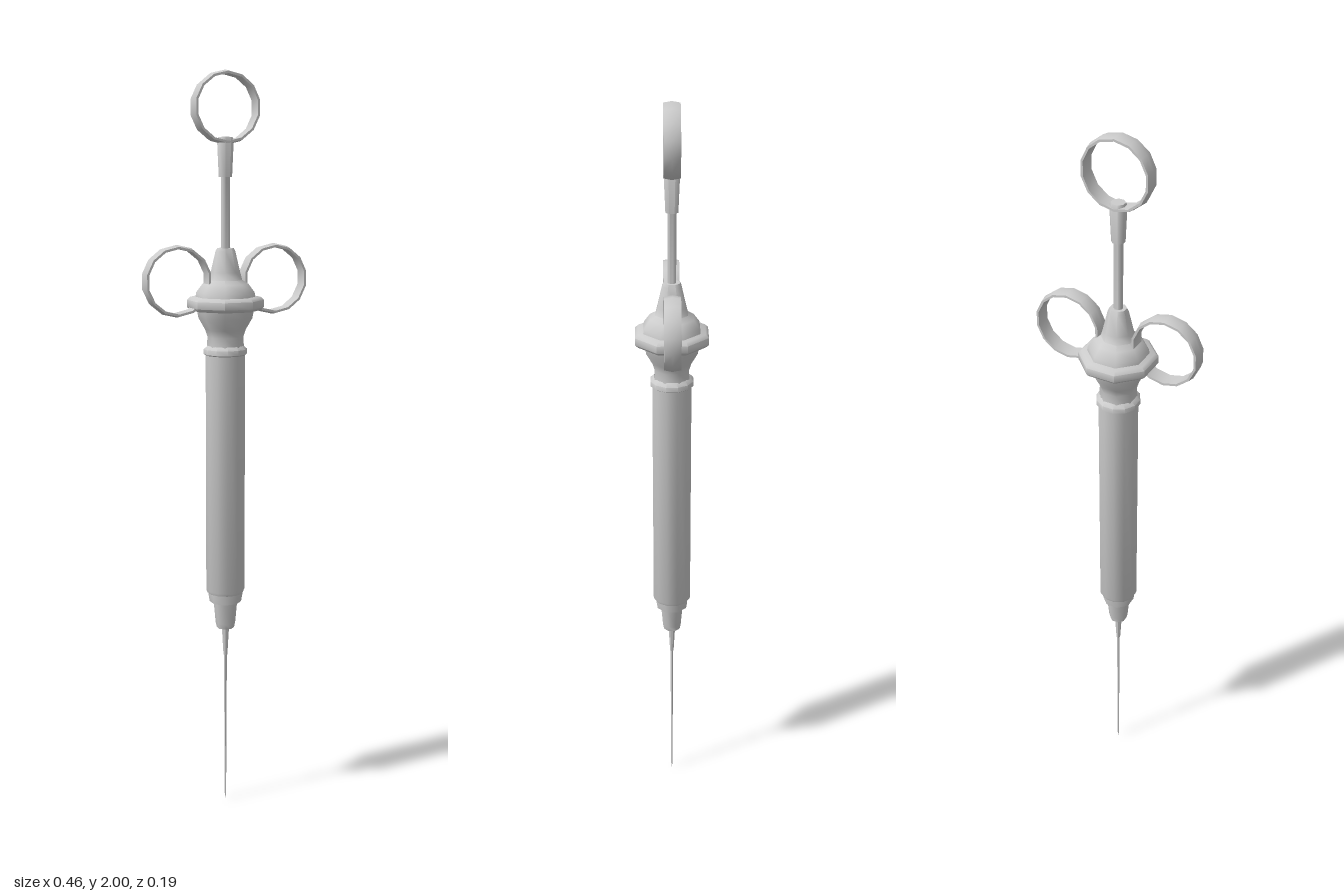
import * as THREE from 'three';
import { toCreasedNormals } from 'three/addons/utils/BufferGeometryUtils.js';

const material = new THREE.MeshStandardMaterial({ color: 0xcccccc, side: THREE.DoubleSide });

// Turned part: profile is [radius across flats, height] from bottom to top, flats face the axes
function turned(name, sides, profile, crease = 0.9) {
  const k = 1 / Math.cos(Math.PI / sides);
  const points = profile.map(([r, y]) => new THREE.Vector2(r * k, y));
  const geometry = new THREE.LatheGeometry(points, sides, Math.PI / sides);
  const mesh = new THREE.Mesh(toCreasedNormals(geometry, crease), material);
  mesh.name = name;
  return mesh;
}

// Flat band ring with a slightly domed outside, standing in the XY plane
function fingerRing(name, x, y) {
  const band = [[0.084, -0.021], [0.09, -0.021], [0.094, 0], [0.09, 0.021], [0.084, 0.021], [0.084, -0.021]];
  const geometry = new THREE.LatheGeometry(band.map(([r, h]) => new THREE.Vector2(r, h)), 14);
  geometry.rotateX(Math.PI / 2);
  const mesh = new THREE.Mesh(toCreasedNormals(geometry, 0.6), material);
  mesh.name = name;
  mesh.position.set(x, y, 0);
  return mesh;
}

export function createModel() {
  const model = new THREE.Group();
  model.name = 'syringe';

  // Needle and its hub
  model.add(turned('needle', 6, [[0, 0], [0.002, 0.02], [0.003, 0.26], [0.004, 0.44]]));
  model.add(turned('needleHub', 8, [[0, 0.43], [0.005, 0.43], [0.009, 0.505], [0.009, 0.52]]));

  // Stepped nozzle under the barrel
  model.add(turned('nozzle', 8, [
    [0, 0.51], [0.022, 0.51], [0.025, 0.525], [0.03, 0.585],
    [0.04, 0.585], [0.043, 0.605], [0.043, 0.62],
  ]));

  // Barrel and the bead around its top
  model.add(turned('barrel', 12, [[0, 0.612], [0.048, 0.612], [0.051, 0.62], [0.051, 1.27], [0, 1.27]]));
  model.add(turned('barrelBead', 12, [[0.048, 1.265], [0.056, 1.27], [0.056, 1.283], [0.046, 1.292]]));

  // Waisted neck, finger flange and domed cap with a cone
  model.add(turned('neck', 8, [
    [0.046, 1.28], [0.044, 1.315], [0.05, 1.335], [0.066, 1.365], [0.07, 1.39],
  ]));
  model.add(turned('flange', 8, [
    [0, 1.386], [0.086, 1.386], [0.094, 1.394], [0.094, 1.413], [0.086, 1.421], [0, 1.421],
  ]));
  model.add(turned('cap', 8, [
    [0.073, 1.42], [0.071, 1.433], [0.056, 1.455], [0.041, 1.465],
    [0.036, 1.485], [0.024, 1.54], [0.02, 1.548], [0, 1.548],
  ]));

  // Plunger rod with the thicker socket that carries the thumb ring
  model.add(turned('plungerRod', 8, [[0.011, 1.54], [0.011, 1.74]]));
  model.add(turned('ringSocket', 8, [[0, 1.73], [0.016, 1.73], [0.02, 1.825], [0.017, 1.832], [0, 1.832]]));

  // Thumb ring and the mirrored pair of finger rings
  model.add(fingerRing('thumbRing', 0, 1.906));
  model.add(fingerRing('leftFingerRing', 0.136, 1.465));
  model.add(fingerRing('rightFingerRing', -0.136, 1.465));

  return model;
}
